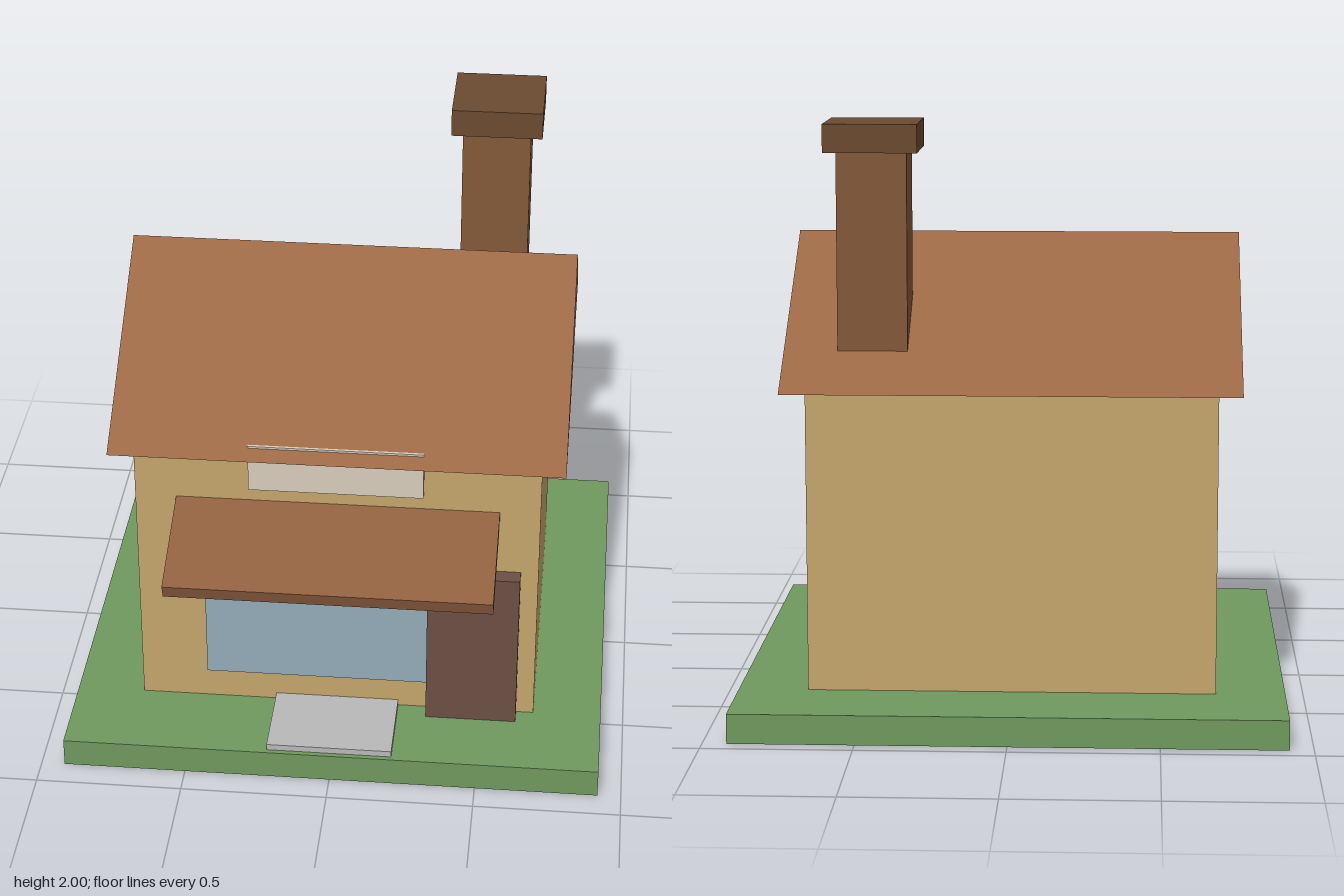
import * as THREE from 'three';

const material = (color) => new THREE.MeshStandardMaterial({ color });

// Box given by its lower and upper limits on each axis
function block(name, color, [x0, x1], [y0, y1], [z0, z1]) {
  const mesh = new THREE.Mesh(new THREE.BoxGeometry(x1 - x0, y1 - y0, z1 - z0), material(color));
  mesh.name = name;
  mesh.position.set((x0 + x1) / 2, (y0 + y1) / 2, (z0 + z1) / 2);
  return mesh;
}

export function createModel() {
  const group = new THREE.Group();
  group.name = 'house';

  // Lawn and house body
  group.add(block('lawn', 0x70995f, [-0.92, 0.92], [0, 0.1], [-0.943, 0.902]));
  group.add(block('walls', 0xc4a66b, [-0.687, 0.685], [0.1, 1.12], [-0.63, 0.588]));

  // Gable roof: triangular prism with its ridge along x
  const halfDepth = 0.684;
  const gable = new THREE.Shape([
    new THREE.Vector2(-halfDepth, 0),
    new THREE.Vector2(halfDepth, 0),
    new THREE.Vector2(0, 0.47),
  ]);
  const roofGeometry = new THREE.ExtrudeGeometry(gable, { depth: 1.53, bevelEnabled: false });
  roofGeometry.translate(0, 0, -0.765).rotateY(Math.PI / 2);
  const roof = new THREE.Mesh(roofGeometry, material(0x9b6845));
  roof.name = 'roof';
  roof.position.set(0, 1.12, -0.022);
  group.add(roof);

  // Chimney, sunk into the back slope
  group.add(block('chimney', 0x835939, [0.35, 0.585], [1.14, 1.905], [-0.53, -0.298]));
  group.add(block('chimneyCap', 0x6b4a30, [0.312, 0.625], [1.905, 2], [-0.572, -0.258]));

  // Shopfront
  group.add(block('window', 0x93acb9, [-0.452, 0.446], [0.238, 0.865], [0.57, 0.635]));
  group.add(block('door', 0x6b4f43, [0.312, 0.625], [0.1, 0.687], [0.57, 0.647]));
  group.add(block('doorstep', 0xb8b8b8, [-0.217, 0.212], [0.1, 0.122], [0.585, 0.885]));
  group.add(block('signBoard', 0xd8cdbb, [-0.297, 0.292], [0.985, 1.156], [0.57, 0.62]));

  // Sloping awning, its outer edge lower than the wall edge
  const slope = THREE.MathUtils.degToRad(20);
  const length = 0.42;
  const awning = new THREE.Mesh(new THREE.BoxGeometry(1.096, 0.053, length), material(0x8f6040));
  awning.name = 'awning';
  awning.rotation.x = slope;
  awning.position.set(0, 0.77 + Math.sin(slope) * length / 2, 0.935 - Math.cos(slope) * length / 2);
  group.add(awning);

  return group;
}
